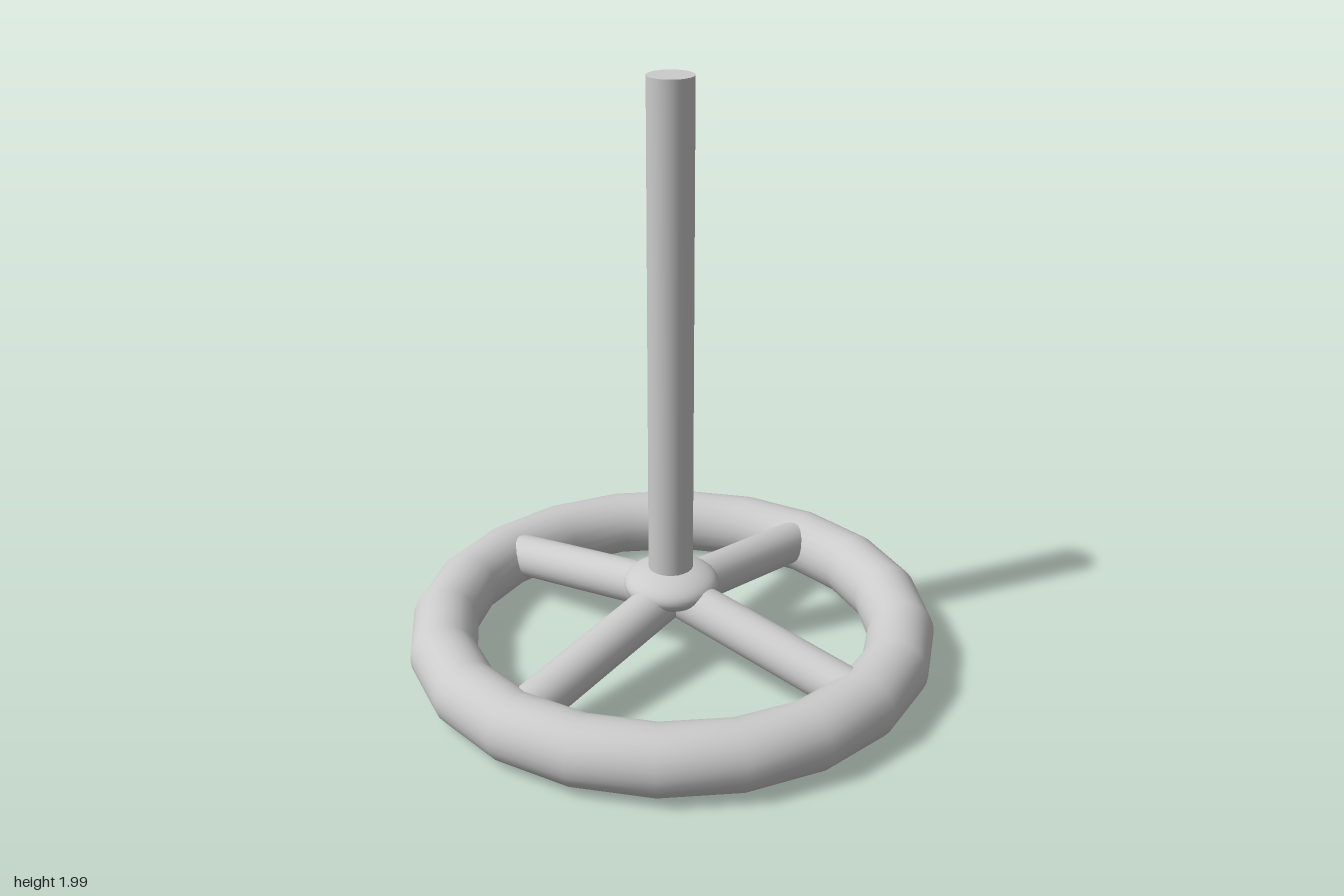
import * as THREE from 'three';

export function createModel() {
  const model = new THREE.Group();
  const material = new THREE.MeshStandardMaterial({ color: 0xcccccc });
  const add = (name, geometry) => {
    const mesh = new THREE.Mesh(geometry, material);
    mesh.name = name;
    model.add(mesh);
    return mesh;
  };

  // Round rod between two points
  const rod = (name, from, to, radius) => {
    const axis = to.clone().sub(from);
    const mesh = add(name, new THREE.CylinderGeometry(radius, radius, axis.length(), 24));
    mesh.position.copy(from).add(to).multiplyScalar(0.5);
    mesh.quaternion.setFromUnitVectors(new THREE.Vector3(0, 1, 0), axis.normalize());
    return mesh;
  };

  // Wheel rim: round section, twenty facets around
  const rim = add('rim', new THREE.TorusGeometry(0.777, 0.112, 24, 20));
  rim.rotation.x = Math.PI / 2;
  rim.position.y = 0.12;

  // Four spokes sloping from the hub down into the rim
  const centre = new THREE.Vector3(0.007, 0.247, 0);
  for (let i = 0; i < 4; i++) {
    const a = (i * Math.PI) / 2;
    const c = Math.round(Math.cos(a));
    const s = Math.round(Math.sin(a));
    const end = new THREE.Vector3(0.007 + 0.76 * c, 0.136, 0.76 * s);
    rod('spoke', centre, end, 0.074);
  }

  // Flattened round hub
  const hub = add('hub', new THREE.SphereGeometry(0.16, 32, 20));
  hub.scale.y = 0.44;
  hub.position.set(0.007, 0.28, -0.007);

  // Upright shaft
  rod('shaft', new THREE.Vector3(0.007, 0.24, -0.01), new THREE.Vector3(0.007, 2, -0.01), 0.075);

  return model;
}
